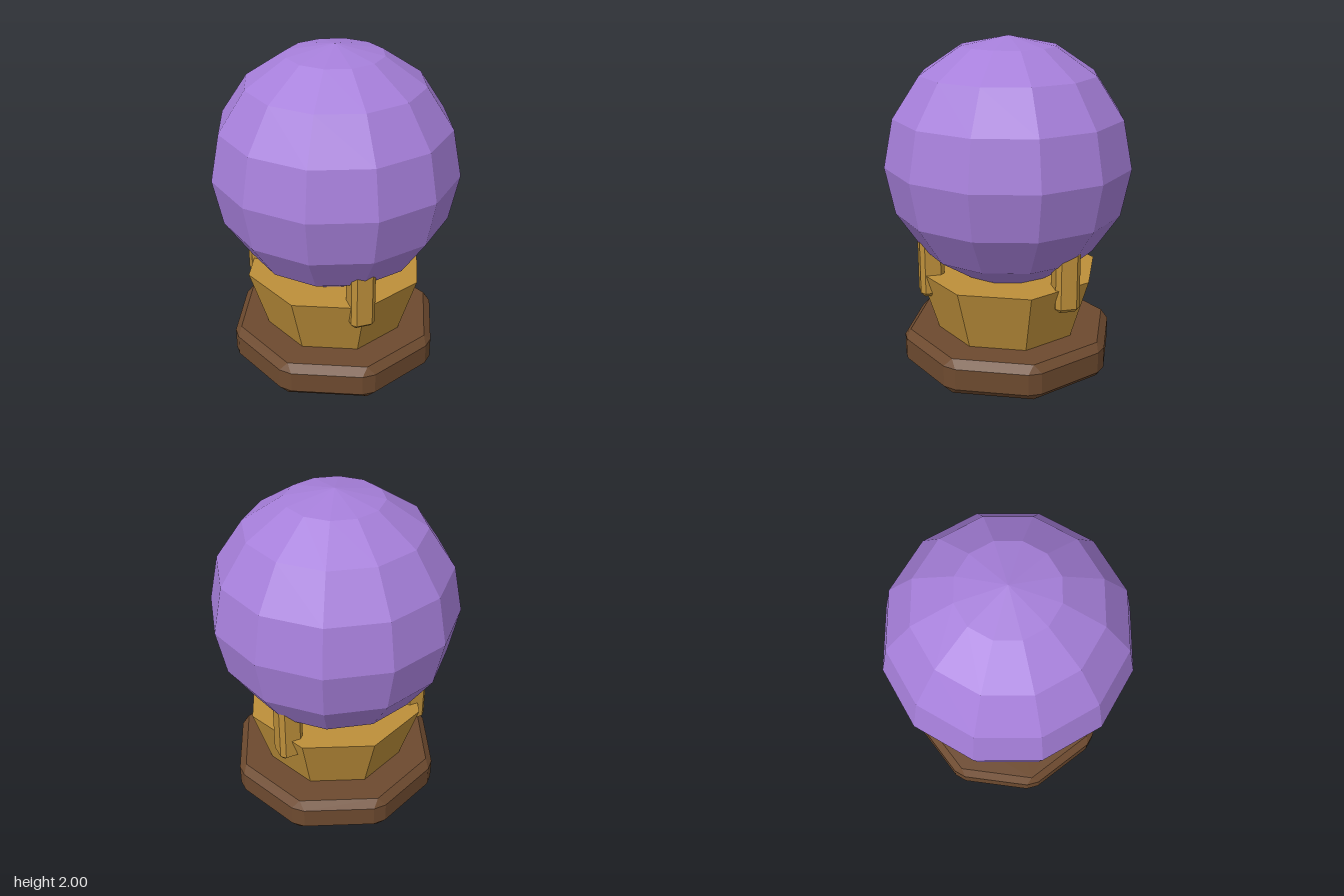
import * as THREE from 'three';
import { ConvexGeometry } from 'three/addons/geometries/ConvexGeometry.js';

const material = (color) => new THREE.MeshStandardMaterial({ color, flatShading: true });

function add(parent, name, geometry, mat, x, y, z) {
  const mesh = new THREE.Mesh(geometry, mat);
  mesh.name = name;
  mesh.position.set(x, y, z);
  parent.add(mesh);
  return mesh;
}

// Box with every edge cut by a chamfer c
function chamferBox(w, h, d, c) {
  const points = [];
  for (const sx of [-1, 1]) for (const sy of [-1, 1]) for (const sz of [-1, 1]) {
    const x = w / 2, y = h / 2, z = d / 2;
    points.push(
      new THREE.Vector3(sx * x, sy * (y - c), sz * (z - c)),
      new THREE.Vector3(sx * (x - c), sy * y, sz * (z - c)),
      new THREE.Vector3(sx * (x - c), sy * (y - c), sz * z));
  }
  return new ConvexGeometry(points);
}

// Octagonal slab: pointed top and bottom outlines, chamfered upright corners
function chamferOctagon(capRadius, radius, height, bevel, halfCut) {
  const points = [];
  for (let i = 0; i < 8; i++) {
    const a = i * Math.PI / 4, c = Math.cos(a), s = Math.sin(a);
    for (const y of [0, height]) points.push(new THREE.Vector3(capRadius * c, y, capRadius * s));
    for (const y of [bevel, height - bevel]) for (const t of [-halfCut, halfCut]) {
      points.push(new THREE.Vector3(radius * c - t * s, y, radius * s + t * c));
    }
  }
  return new ConvexGeometry(points);
}

export function createModel() {
  const model = new THREE.Group();
  model.name = 'crystalBall';
  const wood = material(0x6d4a2f), gold = material(0xbd8f3a), glass = material(0xa67fda);

  add(model, 'base', chamferOctagon(0.62, 0.65, 0.22, 0.045, 0.04), wood, 0, 0, 0);
  add(model, 'cup', new THREE.CylinderGeometry(0.555, 0.44, 0.375, 8), gold, 0, 0.405, 0);
  add(model, 'ball', new THREE.SphereGeometry(0.74, 12, 8), glass, 0, 1.26, 0);

  // Three prongs around the rim, all square to the axes
  const prongs = new THREE.Group();
  prongs.name = 'prongs';
  const prongGeometry = chamferBox(0.146, 0.42, 0.146, 0.026);
  for (let i = 0; i < 3; i++) {
    const a = i * Math.PI * 2 / 3;
    add(prongs, 'prong', prongGeometry, gold, 0.482 * Math.sin(a), 0.66, 0.482 * Math.cos(a));
  }
  model.add(prongs);
  return model;
}
